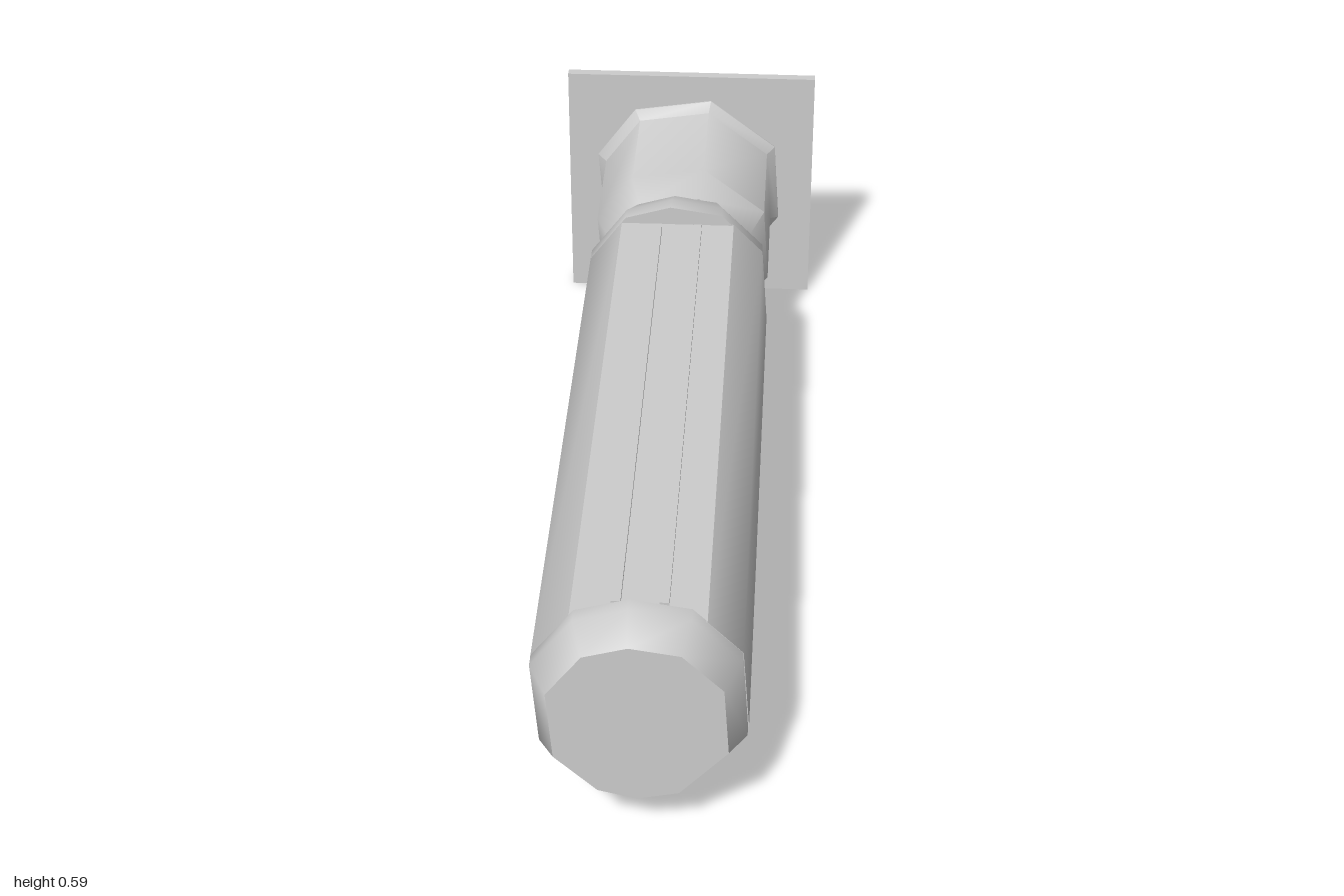
import * as THREE from 'three';
import { toCreasedNormals } from 'three/addons/utils/BufferGeometryUtils.js';

const CY = 0.295; // height of the long axis

// Cross-sections, counter-clockwise seen from the front
const decagon = [[-0.02, 0.477], [-0.105, 0.452], [-0.173, 0.36], [-0.162, 0.208], [-0.08, 0.128],
  [-0.005, 0.11], [0.073, 0.128], [0.165, 0.233], [0.155, 0.383], [0.077, 0.462]];
const octagon = [[0.048, 0.53], [-0.135, 0.502], [-0.227, 0.377], [-0.212, 0.18],
  [-0.055, 0.062], [0.128, 0.09], [0.218, 0.213], [0.205, 0.41]];
const flattened = [[0.12, 0.47], [-0.135, 0.47], [-0.208, 0.372], [-0.195, 0.19],
  [-0.125, 0.12], [0.112, 0.12], [0.2, 0.22], [0.187, 0.4]];

// Sweeps a section through [z, scale] stations (z rising) and caps both ends
function loft(section, stations, crease) {
  const n = section.length, pos = [], idx = [];
  for (const [z, s] of stations)
    for (const [x, y] of section) pos.push(x * s, CY + (y - CY) * s, z);
  for (let k = 0; k < stations.length - 1; k++)
    for (let i = 0; i < n; i++) {
      const a = k * n + i, b = k * n + (i + 1) % n;
      idx.push(a, b, b + n, a, b + n, a + n);
    }
  const last = (stations.length - 1) * n;
  for (let i = 1; i < n - 1; i++) {
    idx.push(0, i + 1, i);
    idx.push(last, last + i, last + i + 1);
  }
  const g = new THREE.BufferGeometry();
  g.setAttribute('position', new THREE.Float32BufferAttribute(pos, 3));
  g.setIndex(idx);
  return toCreasedNormals(g, crease);
}

export function createModel() {
  const model = new THREE.Group();
  const grey = new THREE.MeshStandardMaterial({ color: 0xcccccc });
  const add = (name, geometry, x = 0, y = 0, z = 0) => {
    const mesh = new THREE.Mesh(geometry, grey);
    mesh.name = name;
    mesh.position.set(x, y, z);
    model.add(mesh);
  };

  // Square plate at the back end
  add('mountingPlate', new THREE.BoxGeometry(0.594, 0.594, 0.022), 0, 0.297, -0.989);

  // Octagonal socket flaring into the plate
  add('socket', loft(octagon, [[-0.999, 1], [-0.975, 1], [-0.955, 0.91], [-0.68, 0.91], [-0.605, 0.76]], 0.9));

  // Collar behind the grip and chamfered cap in front of it
  add('rearCollar', loft(decagon, [[-0.61, 1], [-0.53, 1.2], [-0.495, 1.2]], 0.9));
  add('frontCap', loft(decagon, [[0.905, 1.2], [0.935, 1.2], [1, 1]], 0.9));

  // Long grip with flats on top and bottom
  add('grip', loft(flattened, [[-0.5, 1], [0.91, 1]], 0.8));

  // Two thin ribs along each flat
  for (const x of [-0.051, 0.039])
    for (const [name, y] of [['topRib', 0.47], ['bottomRib', 0.12]])
      add(name, new THREE.BoxGeometry(0.018, 0.022, 1.35), x, y, 0.197);

  return model;
}
